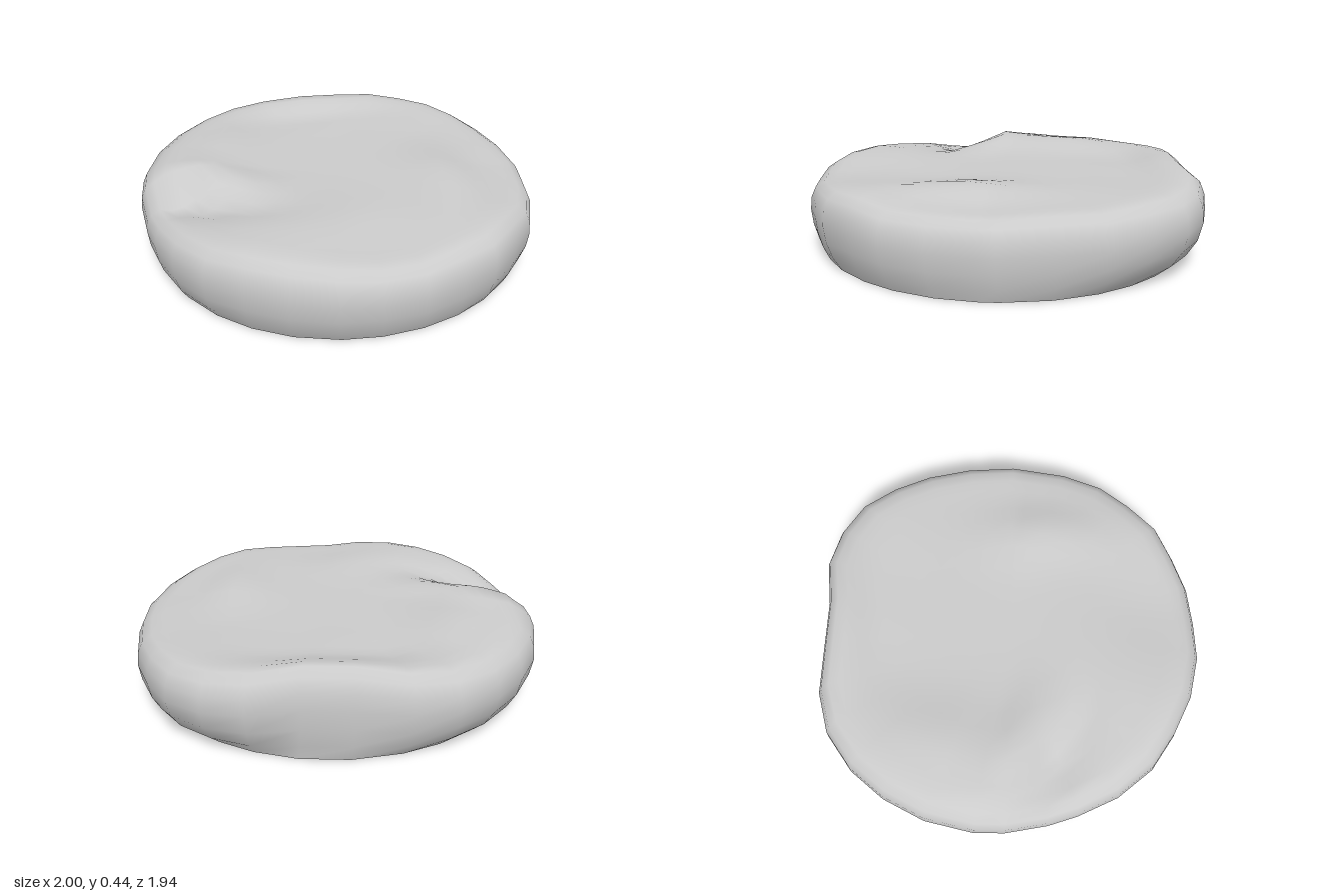
import * as THREE from 'three';

// Outline at the widest point (x, z) with the height of the rim (y), running round from the left side
const RIM = [
  [1, 0.35, 0.05], [0.99, 0.36, -0.2], [0.95, 0.36, -0.43], [0.87, 0.375, -0.62], [0.76, 0.385, -0.79],
  [0.6, 0.395, -0.9], [0.41, 0.415, -0.96], [0.18, 0.435, -0.94], [-0.05, 0.435, -0.955], [-0.3, 0.41, -0.975],
  [-0.5, 0.395, -0.93], [-0.68, 0.385, -0.81], [-0.82, 0.38, -0.65], [-0.93, 0.375, -0.45], [-0.995, 0.37, -0.21],
  [-1, 0.36, -0.06], [-0.97, 0.31, 0.15], [-0.93, 0.325, 0.3], [-0.85, 0.355, 0.5], [-0.72, 0.37, 0.68],
  [-0.56, 0.385, 0.8], [-0.38, 0.385, 0.9], [-0.17, 0.37, 0.96], [0.02, 0.35, 0.965], [0.22, 0.35, 0.95],
  [0.4, 0.365, 0.89], [0.57, 0.375, 0.82], [0.72, 0.375, 0.68], [0.85, 0.355, 0.54], [0.94, 0.35, 0.34],
  [0.985, 0.345, 0.14],
].map((p) => new THREE.Vector3(...p));
const SEG = RIM.length;

// Side profile: [blend from base ellipse to outline, inward scale, share of rim height]
const SIDE = [[0, 1, 0], [0.5, 1, 0.16], [0.85, 1, 0.36], [1, 1, 0.58], [1, 0.993, 0.76], [1, 0.97, 0.9], [1, 0.925, 0.98]];
const TOP = [0.87, 0.81, 0.75, 0.69, 0.62, 0.54, 0.45, 0.34, 0.22, 0.1, 0];

// Soft bump or hollow: centre, height, radii, turn
const lump = (x, z, cx, cz, h, rx, rz, turn = 0) => {
  const dx = x - cx, dz = z - cz, c = Math.cos(turn), s = Math.sin(turn);
  const u = (dx * c + dz * s) / rx, v = (dz * c - dx * s) / rz;
  return h * Math.exp(-u * u - v * v);
};

// Uneven top surface: ridge and crease, side swells, then the hollow at the back
const relief = (x, z) =>
  lump(x, z, -0.66, 0, 0.07, 0.28, 0.13, 0.5) +
  lump(x, z, -0.7, 0.2, -0.04, 0.28, 0.08, 0.5) +
  lump(x, z, -0.57, -0.34, 0.045, 0.2, 0.25) +
  lump(x, z, 0.53, 0.18, 0.045, 0.16, 0.3) +
  lump(x, z, -0.25, 0.5, 0.02, 0.35, 0.22) +
  lump(x, z, 0.02, -0.68, -0.045, 0.34, 0.14);

function buildGeometry(rings) {
  const pos = [], index = [];
  rings.forEach((ring) => ring.forEach((p) => pos.push(p.x, p.y, p.z)));
  for (let i = 0; i < rings.length - 1; i++) {
    for (let j = 0; j < SEG; j++) {
      const a = i * SEG + j, b = i * SEG + (j + 1) % SEG;
      index.push(a, b, b + SEG, a, b + SEG, a + SEG);
    }
  }
  const g = new THREE.BufferGeometry();
  g.setAttribute('position', new THREE.Float32BufferAttribute(pos, 3));
  g.setIndex(index);
  g.computeVertexNormals();
  return g;
}

export function createModel() {
  const group = new THREE.Group();
  group.name = 'flatStone';
  const material = new THREE.MeshStandardMaterial({ color: 0xcccccc });

  // Flat foot: a smooth ellipse
  const middle = new THREE.Vector3(0.015, 0, -0.01);
  const foot = RIM.map((p) => {
    const a = Math.atan2(p.z, p.x);
    return new THREE.Vector3(0.945 * Math.cos(a), 0, 0.92 * Math.sin(a)).add(middle);
  });

  // Bulging side
  const rings = SIDE.map(([blend, scale, h]) => RIM.map((p, j) => {
    const q = foot[j].clone().lerp(p, blend).multiplyScalar(scale);
    q.y = p.y * h;
    return q;
  }));

  // Top, easing from the rim into a shallow basin
  for (const t of TOP) {
    const w = THREE.MathUtils.smoothstep(t, 0.4, 0.87);
    rings.push(RIM.map((p) => {
      const x = p.x * t, z = p.z * t;
      return new THREE.Vector3(x, THREE.MathUtils.lerp(0.367, p.y, w) + relief(x, z), z);
    }));
  }

  const body = new THREE.Mesh(buildGeometry(rings), material);
  body.name = 'body';
  const base = new THREE.Mesh(buildGeometry([foot.map(() => middle), foot]), material);
  base.name = 'base';
  group.add(body, base);
  return group;
}
